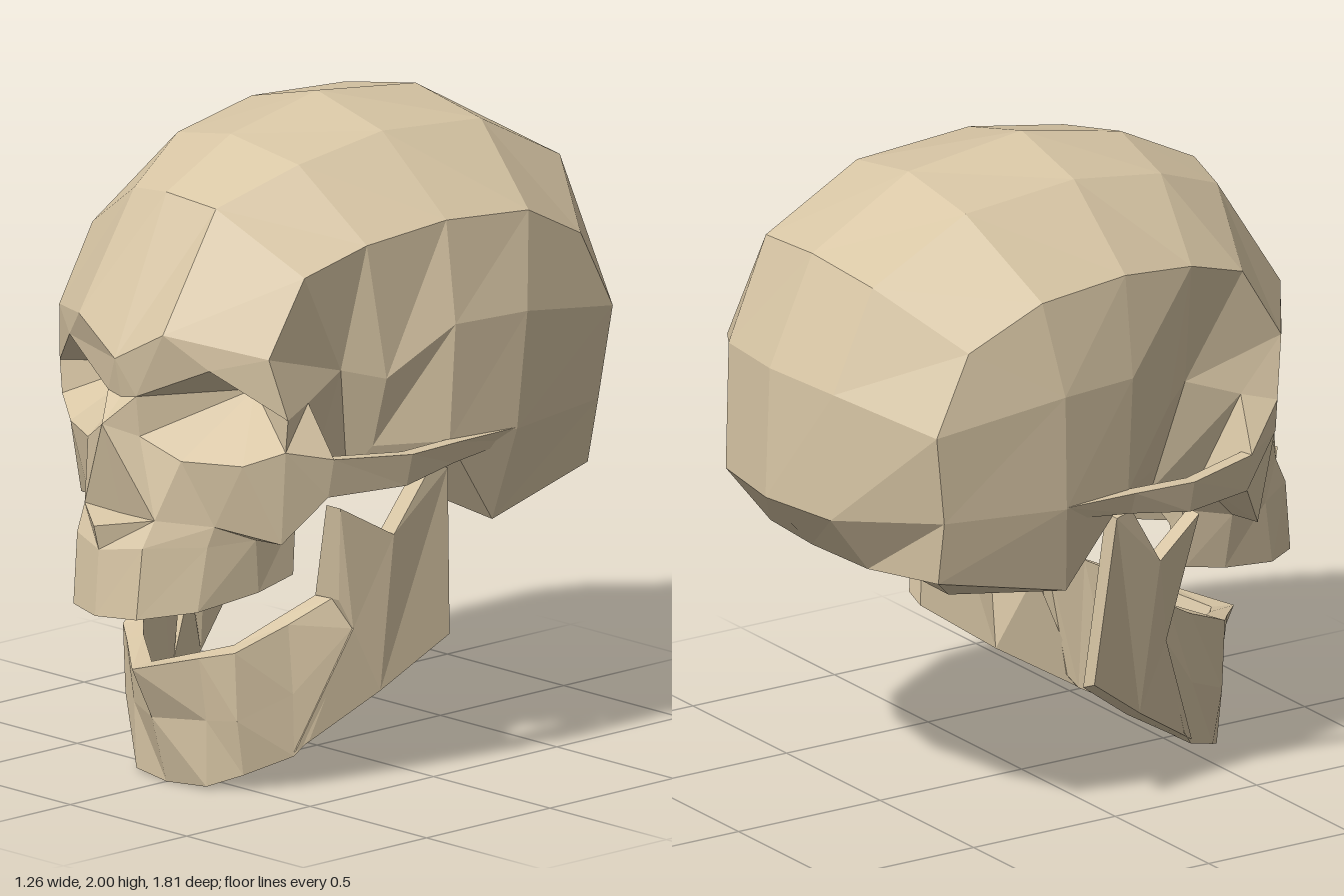
import * as THREE from 'three';

const bone = new THREE.MeshStandardMaterial({ color: 0xd8c6a5, flatShading: true, side: THREE.DoubleSide });
bone.name = 'bone';

// Flat-shaded surface from polygons; each is turned away from its reference point
class Surface {
  constructor() { this.pos = []; }
  poly(pts, ref) {
    const v = pts.map(p => new THREE.Vector3(...p));
    const mid = v.reduce((s, p) => s.add(p), new THREE.Vector3()).divideScalar(v.length);
    const n = new THREE.Vector3();
    v.forEach((p, i) => n.add(p.clone().sub(mid).cross(v[(i + 1) % v.length].clone().sub(mid))));
    if (n.dot(mid.sub(new THREE.Vector3(...ref))) < 0) v.reverse();
    for (let i = 1; i < v.length - 1; i++)
      for (const p of [v[0], v[i], v[i + 1]]) this.pos.push(p.x, p.y, p.z);
  }
  both(pts, ref) {
    const flip = ([x, y, z]) => [-x, y, z];
    this.poly(pts, ref);
    this.poly(pts.map(flip), flip(ref));
  }
  named(P, list, ref) {
    for (const names of list.split(',')) this.both(names.trim().split(' ').map(k => P[k]), ref);
  }
  // Skin a row of closed rings and cap the far end
  loft(rings) {
    const centre = r => [0, 1, 2].map(k => r.reduce((s, p) => s + p[k], 0) / r.length);
    for (let i = 0; i < rings.length - 1; i++) {
      const a = rings[i], b = rings[i + 1], ref = centre([...a, ...b]);
      a.forEach((p, j) => {
        const k = (j + 1) % a.length;
        this.both([p, a[k], b[k], b[j]], ref);
      });
    }
    const last = rings.length - 1;
    this.both(rings[last], centre(rings[last - 1]));
  }
  mesh(name) {
    const g = new THREE.BufferGeometry();
    g.setAttribute('position', new THREE.Float32BufferAttribute(this.pos, 3));
    g.computeVertexNormals();
    const m = new THREE.Mesh(g, bone);
    m.name = name;
    return m;
  }
}

// Vault lines from brow over the crown to the nape: midline, side line, temple line
const MID = [[0, 1.33, .82], [0, 1.8, .61], [0, 1.93, .35], [0, 2, 0], [0, 1.95, -.4],
  [0, 1.76, -.74], [0, 1.43, -.89], [0, 1.03, -.905], [0, .85, -.74], [0, .75, -.45]];
const SIDE = [[.18, 1.43, .795], [.175, 1.775, .575], [.26, 1.88, .32], [.28, 1.93, 0], [.29, 1.9, -.39],
  [.285, 1.73, -.715], [.28, 1.42, -.85], [.28, 1.03, -.86], [.26, .845, -.715], [.16, .73, -.46]];
const TEMPLE = [[.45, 1.375, .62], [.455, 1.6, .48], [.5, 1.67, .27], [.555, 1.71, 0], [.58, 1.69, -.31],
  [.55, 1.57, -.55], [.56, 1.33, -.67], [.54, 1.05, -.63], [.5, .85, -.625], [.32, .735, -.47]];

const P = {
  // side of the brain case and base
  C2: [.5, 1.25, .19], C3: [.595, 1.4, 0], C4: [.628, 1.4, -.26], D3: [.57, 1.04, 0], D4: [.605, 1.04, -.24],
  E: [.54, .76, -.2], F: [.42, 1.28, .3], H: [.43, 1.03, .18], G: [.36, .94, .22],
  N: [.32, .88, 0], M10: [0, .86, -.1], M11: [0, .93, .28],
  // eye socket rim and apex
  r1: [.06, 1.22, .79], r2: [.3, 1.33, .72], r3: [.49, 1.19, .58], r4: [.48, 1.09, .58],
  r5: [.37, 1.04, .65], r6: [.2, 1.04, .74], r7: [.07, 1.1, .785], O: [.22, 1.215, .46],
  // nose
  N0: [0, 1.21, .795], T: [0, 1.14, .872], L: [.15, .86, .8], I: [0, .855, .795],
  S: [0, .835, .905], U: [0, .76, .885],
  // cheekbone
  K0: [.27, .84, .67], K1: [.31, .785, .54], K2: [.43, .795, .55], Z1: [.55, 1.06, .45],
  Z2: [.525, .94, .45], ZF: [.46, 1.22, .47], Y: [.37, .94, .38],
  // upper jaw
  t1: [.14, .78, .84], t2: [.26, .78, .69], t4: [.3, .83, .37],
  b0: [0, .56, .9], b1: [.135, .565, .86], b2: [.25, .585, .72], b3: [.3, .62, .52], b4: [.3, .65, .38],
};
MID.forEach((p, i) => { P['m' + i] = p; P['a' + i] = SIDE[i]; P['B' + i] = TEMPLE[i]; });
// inner edge of the tooth ridge and the vaulted palate above it
for (let i = 0; i < 5; i++) {
  const [x, y, z] = P['b' + i];
  P['c' + i] = [x * .8, y + .01, z - (i < 4 ? .07 : 0)];
  P['p' + i] = [x * .72, .76, z - (i < 4 ? .09 : 0)];
  P['q' + i] = [0, .76 + i * .025, z - (i < 4 ? .09 : 0)];
}

function brainCase() {
  const s = new Surface(), ref = [0, 1.3, -.1];
  for (let i = 0; i < 9; i++) {
    const j = i + 1;
    s.named(P, `m${i} a${i} a${j} m${j}, a${i} B${i} B${j} a${j}`, ref);
  }
  s.named(P, 'B0 B1 F, B1 B2 F, B2 C2 F, B2 B3 C3 C2, B3 B4 C4 C3, C4 B4 B5 B6, C3 C4 D4 D3, C4 B6 B7 D4', ref);
  s.named(P, 'F C2 H, F H G, C2 C3 D3 H, H D3 G, D3 D4 E, D4 B7 B8 E, B8 B9 E', ref);
  s.named(P, 'a9 B9 E N, m9 a9 N M10, M10 N G M11, E D3 N, D3 G N', ref);
  return s.mesh('brainCase');
}

function face() {
  const s = new Surface(), ref = [0, 1.05, .3];
  s.named(P, 'm0 a0 r2 r1, a0 B0 r2, B0 r3 r2, m0 r1 N0, N0 r1 T, r1 r7 T, T r7 r6 L', ref);
  s.named(P, 'T L I, I L S, S L U', ref);
  for (let i = 1; i < 8; i++) s.named(P, `r${i} r${i % 7 + 1} O`, [P.O[0], P.O[1], -2]);
  s.named(P, 'r6 K0 L, r6 r5 K0, r5 r4 Z2 K2, r4 Z1 Z2, r5 K2 K0, K0 K2 K1', ref);
  s.named(P, 'B0 ZF r3, r3 ZF Z1 r4, B0 F ZF, ZF F G Y, ZF Y Z1, Z1 Y Z2', ref);
  s.named(P, 'Z2 Y K2, K2 Y K1', ref);
  return s.mesh('face');
}

function upperJaw() {
  const s = new Surface(), ref = [0, .9, .5];
  s.named(P, 'L t1 U, L K0 t2 t1, K0 K1 t2, K1 t4 Y, t4 Y G', ref);
  s.named(P, 'U t1 b1 b0, t1 t2 b2 b1, t2 K1 b3 b2, K1 t4 b4 b3', ref);
  for (let i = 0; i < 4; i++) {
    const j = i + 1;
    s.named(P, `b${i} b${j} c${j} c${i}, p${i} p${j} q${j} q${i}`, ref);
    s.named(P, `c${i} c${j} p${j} p${i}`, [.6, .65, 1.2]);
  }
  s.named(P, 'b4 t4 p4 c4, t4 G M11 q4 p4', ref);
  return s.mesh('upperJaw');
}

function cheekArches() {
  const s = new Surface();
  // outer x, top, bottom, z
  const rows = [[.55, 1.06, .94, .45], [.622, 1.045, .945, .2], [.61, 1.045, .975, 0], [.605, 1.045, 1.0, -.24]];
  s.loft(rows.map(([x, t, b, z]) =>
    [[x, t, z], [x - .025, b, z], [x - .06, b, z], [x - .045, t, z]]));
  return s.mesh('cheekArches');
}

function lowerJawBody() {
  const s = new Surface();
  // outer top, outer middle, outer bottom, inner bottom, inner top
  s.loft([
    [[0, .37, .75], [0, .21, .67], [0, .003, .61], [0, .02, .54], [0, .38, .67]],
    [[.155, .41, .625], [.155, .215, .595], [.15, .012, .59], [.13, .03, .52], [.13, .42, .58]],
    [[.24, .43, .56], [.24, .22, .55], [.235, .05, .52], [.2, .065, .46], [.195, .44, .52]],
    [[.3, .5, .4], [.315, .29, .395], [.315, .1, .39], [.255, .11, .37], [.245, .51, .385]],
    [[.36, .57, .28], [.405, .48, .24], [.34, .15, .35], [.27, .15, .34], [.29, .57, .27]],
  ]);
  return s.mesh('lowerJawBody');
}

function lowerJawBranches() {
  const s = new Surface();
  // outer outline, with thickness and drop of the inner edge
  const outline = [[.39, .57, .28, .1, 0], [.45, .87, .33, .06, 0], [.5, .77, .16, .06, 0], [.53, .96, .04, .06, 0],
    [.54, .95, -.02, .06, 0], [.495, .425, -.07, .06, .025], [.42, .275, .14, .07, .025],
    [.32, .115, .39, .06, .015], [.41, .48, .24, .12, 0]];
  const outer = outline.map(([x, y, z]) => [x, y, z]);
  const inner = outline.map(([x, y, z, t, d]) => [x - t, y - d, z]);
  const tris = THREE.ShapeUtils.triangulateShape(outer.map(p => new THREE.Vector2(p[2], p[1])), []);
  for (const t of tris) {
    s.both(t.map(i => outer[i]), [-1, .5, .1]);
    s.both(t.map(i => inner[i]), [2, .5, .1]);
  }
  outer.forEach((p, i) => {
    const j = (i + 1) % outer.length;
    s.both([p, outer[j], inner[j], inner[i]], [.43, .5, .12]);
  });
  return s.mesh('lowerJawBranches');
}

export function createModel() {
  const model = new THREE.Group();
  model.name = 'skull';
  model.add(brainCase(), face(), upperJaw(), cheekArches(), lowerJawBody(), lowerJawBranches());
  return model;
}
